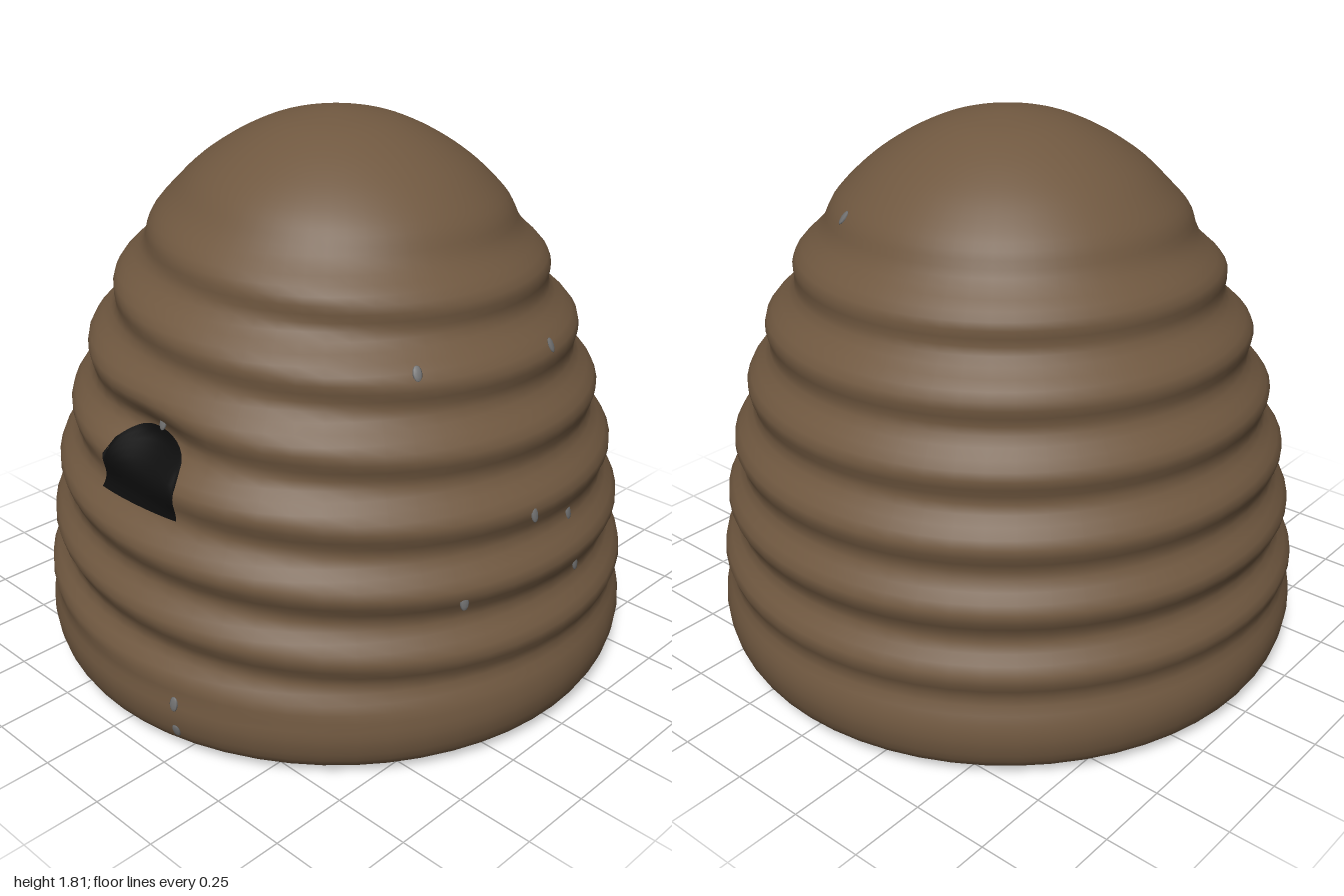
import * as THREE from 'three';
import { mergeVertices } from 'three/addons/utils/BufferGeometryUtils.js';

// Mean outline of the dome: radius, height
const outline = new THREE.SplineCurve([
  [0.83, 0], [0.95, 0.035], [0.99, 0.14], [0.975, 0.25], [0.955, 0.38], [0.94, 0.5],
  [0.92, 0.65], [0.88, 0.82], [0.825, 1.0], [0.77, 1.15], [0.695, 1.3], [0.61, 1.45],
  [0.49, 1.6], [0.36, 1.7], [0.22, 1.77], [0.1, 1.8], [0, 1.81],
].map(([r, y]) => new THREE.Vector2(r, y))).getSpacedPoints(84);
outline[outline.length - 1].x = 0;

function meanRadius(y) {
  const i = Math.max(1, outline.findIndex((p) => p.y >= y));
  const a = outline[i - 1], b = outline[i];
  return THREE.MathUtils.mapLinear(y, a.y, b.y, a.x, b.x);
}

// Adds the spiral coil ripple and the dent at the entrance; angle runs from +z to +x
function surfaceRadius(r, y, angle) {
  let t = 0.25 - angle / (2 * Math.PI);
  t -= Math.floor(t);
  const turns = t + 0.2 * (1 - Math.cos(2 * Math.PI * t));
  const peak = 0.97 + 0.2 * turns;
  const fade = THREE.MathUtils.smoothstep(y, 0.18, 0.34) * (1 - THREE.MathUtils.smoothstep(y, 1.3, 1.65));
  const ripple = 0.022 * fade * Math.cos((2 * Math.PI * (y - peak)) / 0.2);
  const x = Math.sin(angle) * r;
  const dent = Math.cos(angle) > 0
    ? 0.055 * Math.exp(-(((x - 0.02) / 0.18) ** 2) - ((y - 0.93) / 0.12) ** 2) : 0;
  return r + ripple - dent;
}

function surfacePoint(angle, y, lift = 0) {
  const r = surfaceRadius(meanRadius(y), y, angle) + lift;
  return new THREE.Vector3(r * Math.sin(angle), y, r * Math.cos(angle));
}

function domeGeometry() {
  const geo = new THREE.LatheGeometry(outline, 60);
  const pos = geo.attributes.position;
  for (let i = 0; i < pos.count; i++) {
    const x = pos.getX(i), y = pos.getY(i), z = pos.getZ(i);
    const r = Math.hypot(x, z);
    if (r < 1e-4) continue;
    const k = surfaceRadius(r, y, Math.atan2(x, z)) / r;
    pos.setXYZ(i, x * k, y, z * k);
  }
  geo.deleteAttribute('uv');
  geo.deleteAttribute('normal');
  const merged = mergeVertices(geo, 1e-4);
  merged.computeVertexNormals();
  return merged;
}

// Arched opening that hugs the dome
function entranceGeometry() {
  const cols = 20, rows = 10;
  const geo = new THREE.PlaneGeometry(1, 1, cols, rows);
  const pos = geo.attributes.position;
  for (let i = 0; i < pos.count; i++) {
    const u = pos.getX(i) * 2, v = pos.getY(i) + 0.5;
    const x = 0.02 + 0.16 * u;
    const top = 0.86 + 0.115 * Math.sqrt(Math.max(0, 1 - u * u));
    const p = surfacePoint(Math.asin(x / 0.84), 0.75 + v * (top - 0.75), 0.006);
    pos.setXYZ(i, p.x, p.y, p.z);
  }
  geo.computeVertexNormals();
  return geo;
}

export function createModel() {
  const straw = new THREE.MeshStandardMaterial({ color: 0x705840 });
  straw.name = 'brown straw';
  const dark = new THREE.MeshStandardMaterial({ color: 0x0c0c0c });
  dark.name = 'dark opening';
  const grey = new THREE.MeshStandardMaterial({ color: 0x707070 });
  grey.name = 'grey base';

  const hive = new THREE.Group();
  hive.name = 'hive';
  const add = (name, geo, mat) => {
    const mesh = new THREE.Mesh(geo, mat);
    mesh.name = name;
    hive.add(mesh);
    return mesh;
  };

  add('coiledDome', domeGeometry(), straw);
  add('entrance', entranceGeometry(), dark);

  // Underside
  add('baseDisc', new THREE.CircleGeometry(0.83, 60).rotateX(Math.PI / 2), grey);

  // Small grey flecks between the coils: angle, height
  const flecks = [
    [0.26, 0.19], [0.26, 0.09], [0.07, 1.0], [1.08, 1.21], [1.76, 1.18], [1.47, 0.75],
    [1.18, 0.55], [1.7, 0.67], [1.69, 0.51], [2.74, 1.53],
  ];
  const fleckGeo = new THREE.SphereGeometry(1, 8, 6).scale(0.015, 0.024, 0.005);
  for (const [angle, y] of flecks) {
    const fleck = add('fleck', fleckGeo, grey);
    fleck.position.copy(surfacePoint(angle, y, 0.001));
    const up = surfacePoint(angle, y + 0.02).sub(surfacePoint(angle, y - 0.02));
    fleck.rotation.set(-Math.atan2(meanRadius(y - 0.02) - meanRadius(y + 0.02), up.y), angle, 0, 'YXZ');
  }
  return hive;
}
